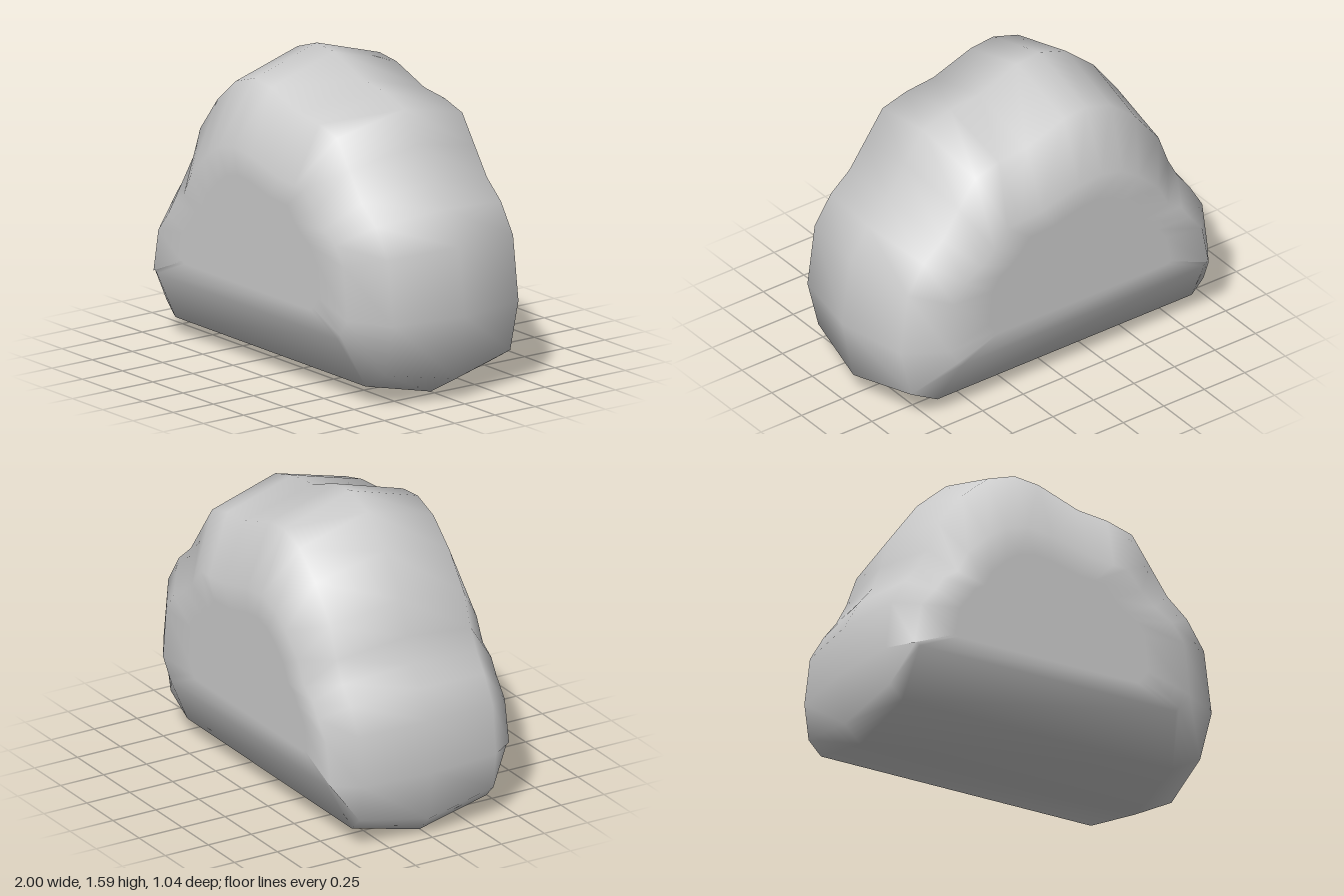
import * as THREE from 'three';

// Centre-line outline, anticlockwise from the lower left: x, y and the
// shift (dx, dy) that carries each point to the flat front or back face.
const OUTLINE = [
  [-0.88, 0, 0.03, 0.34], [0.72, 0, -0.08, 0.34],
  [0.93, 0.115, -0.27, 0.25], [1, 0.45, -0.28, 0],
  [0.95, 0.8, -0.26, -0.08], [0.84, 0.97, -0.22, -0.15],
  [0.72, 1.08, -0.2, -0.2], [0.61, 1.25, -0.17, -0.3],
  [0.5, 1.41, -0.14, -0.36], [0.33, 1.465, -0.05, -0.41],
  [0.15, 1.485, 0, -0.42], [-0.08, 1.575, 0, -0.45],
  [-0.22, 1.59, 0, -0.45], [-0.38, 1.535, 0.03, -0.43],
  [-0.55, 1.385, 0.1, -0.35], [-0.7, 1.18, 0.13, -0.26],
  [-0.76, 1.0, 0.13, -0.2], [-0.81, 0.87, 0.1, -0.12],
  [-0.89, 0.77, 0.13, -0.1], [-0.97, 0.62, 0.13, -0.05],
  [-1, 0.35, 0.12, 0], [-0.97, 0.09, 0.1, 0.27],
];
const CENTER = [-0.1, 0.68];

// Rings from front to back: z, share of the shift, pull towards the face centre
const RINGS = [
  [0.52, 1, 0.3], [0.52, 1, 0], [0.39, 0.26, 0],
  [0, 0, 0],
  [-0.39, 0.26, 0], [-0.52, 1, 0], [-0.52, 1, 0.3],
];

function cloudGeometry() {
  const n = OUTLINE.length;
  const positions = [];
  const index = [];
  for (const [z, shift, pull] of RINGS) {
    for (const [x, y, dx, dy] of OUTLINE) {
      positions.push(
        THREE.MathUtils.lerp(x + dx * shift, CENTER[0], pull),
        THREE.MathUtils.lerp(y + dy * shift, CENTER[1], pull),
        z,
      );
    }
  }
  // Bands between neighbouring rings
  for (let r = 0; r < RINGS.length - 1; r++) {
    for (let i = 0; i < n; i++) {
      const j = (i + 1) % n;
      const a = r * n + i, b = r * n + j, c = a + n, d = b + n;
      index.push(a, c, b, b, c, d);
    }
  }
  // Flat middles of the front and back faces
  const front = positions.length / 3;
  const back = front + 1;
  const last = (RINGS.length - 1) * n;
  positions.push(...CENTER, RINGS[0][0], ...CENTER, -RINGS[0][0]);
  for (let i = 0; i < n; i++) {
    const j = (i + 1) % n;
    index.push(front, i, j, back, last + j, last + i);
  }
  const geometry = new THREE.BufferGeometry();
  geometry.setAttribute('position', new THREE.Float32BufferAttribute(positions, 3));
  geometry.setIndex(index);
  geometry.computeVertexNormals();
  return geometry;
}

export function createModel() {
  const group = new THREE.Group();
  group.name = 'cloud';
  const body = new THREE.Mesh(
    cloudGeometry(),
    new THREE.MeshStandardMaterial({ color: 0xcccccc }),
  );
  body.name = 'cloudBody';
  group.add(body);
  return group;
}
